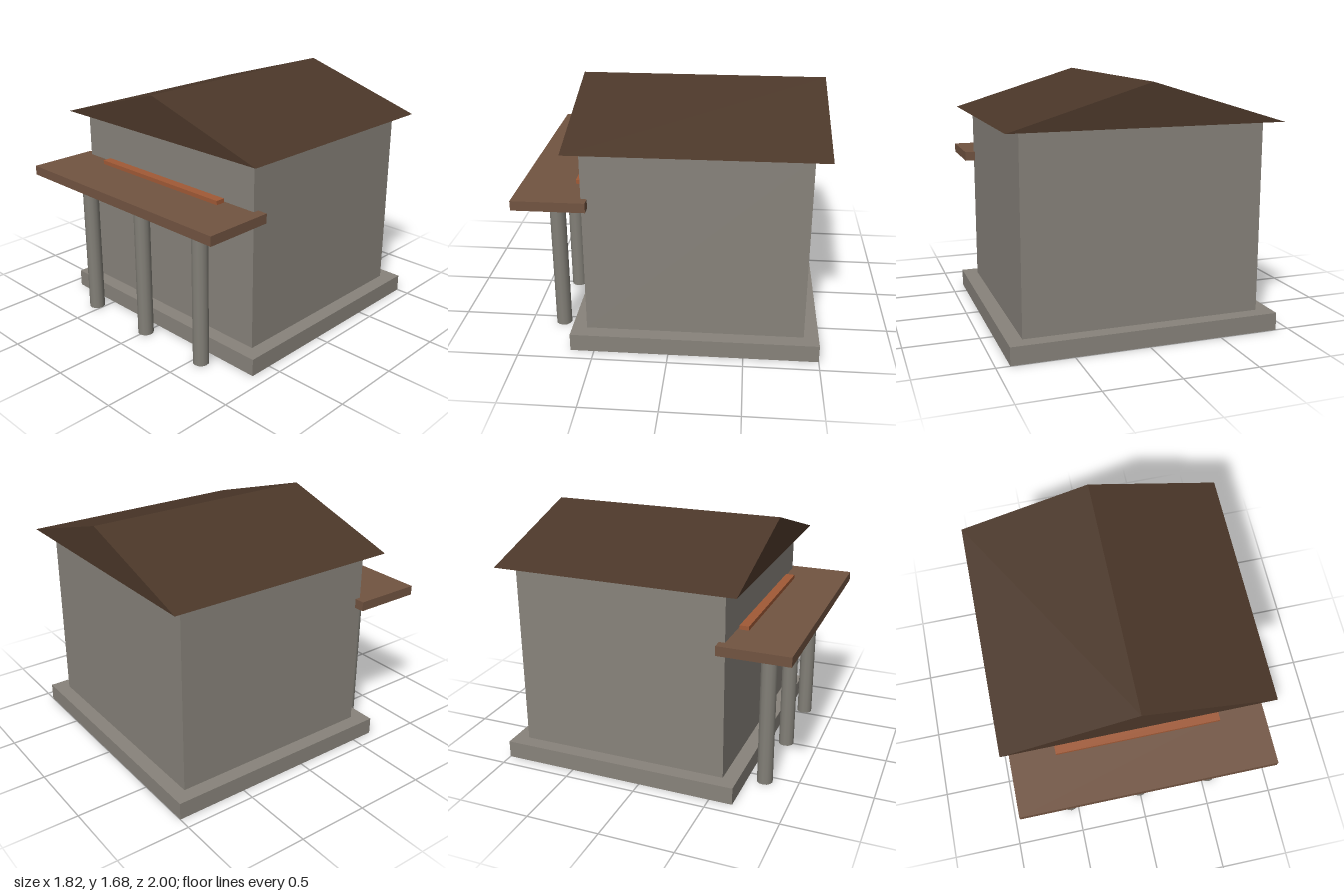
import * as THREE from 'three';

const material = (name, color) => {
  const m = new THREE.MeshStandardMaterial({ color });
  m.name = name;
  return m;
};

export function createModel() {
  const group = new THREE.Group();
  const stone = material('stone', 0x88837b);
  const columnStone = material('columnStone', 0x838078);
  const roofBrown = material('roofBrown', 0x4b3729);
  const wood = material('wood', 0x725441);
  const rust = material('rust', 0xa15a36);

  const add = (name, geometry, mat) => {
    const mesh = new THREE.Mesh(geometry, mat);
    mesh.name = name;
    group.add(mesh);
    return mesh;
  };

  // Box centred on x, given its half width and its y and z ranges
  const addBox = (name, mat, halfX, y0, y1, z0, z1) =>
    add(name, new THREE.BoxGeometry(halfX * 2, y1 - y0, z1 - z0), mat)
      .position.set(0, (y0 + y1) / 2, (z0 + z1) / 2);

  // Building
  addBox('foundation', stone, 0.91, 0, 0.12, -1, 0.66);
  addBox('walls', stone, 0.81, 0.12, 1.405, -0.9, 0.56);

  // Gabled roof: a triangular prism with its ridge along z
  const gable = new THREE.Shape([
    new THREE.Vector2(-0.91, 1.405),
    new THREE.Vector2(0.91, 1.405),
    new THREE.Vector2(0, 1.68),
  ]);
  const roof = new THREE.ExtrudeGeometry(gable, { depth: 1.66, bevelEnabled: false });
  add('roof', roof, roofBrown).position.z = -1;

  // Porch canopy and the board that passes through it
  addBox('porchCanopy', wood, 0.88, 1.01, 1.075, 0.52, 1);
  addBox('signBoard', rust, 0.568, 0.94, 1.103, 0.573, 0.637);

  // Porch columns
  for (const x of [-0.555, 0, 0.555]) {
    add('porchColumn', new THREE.CylinderGeometry(0.055, 0.055, 1.01, 12), columnStone)
      .position.set(x, 0.505, 0.775);
  }

  return group;
}
